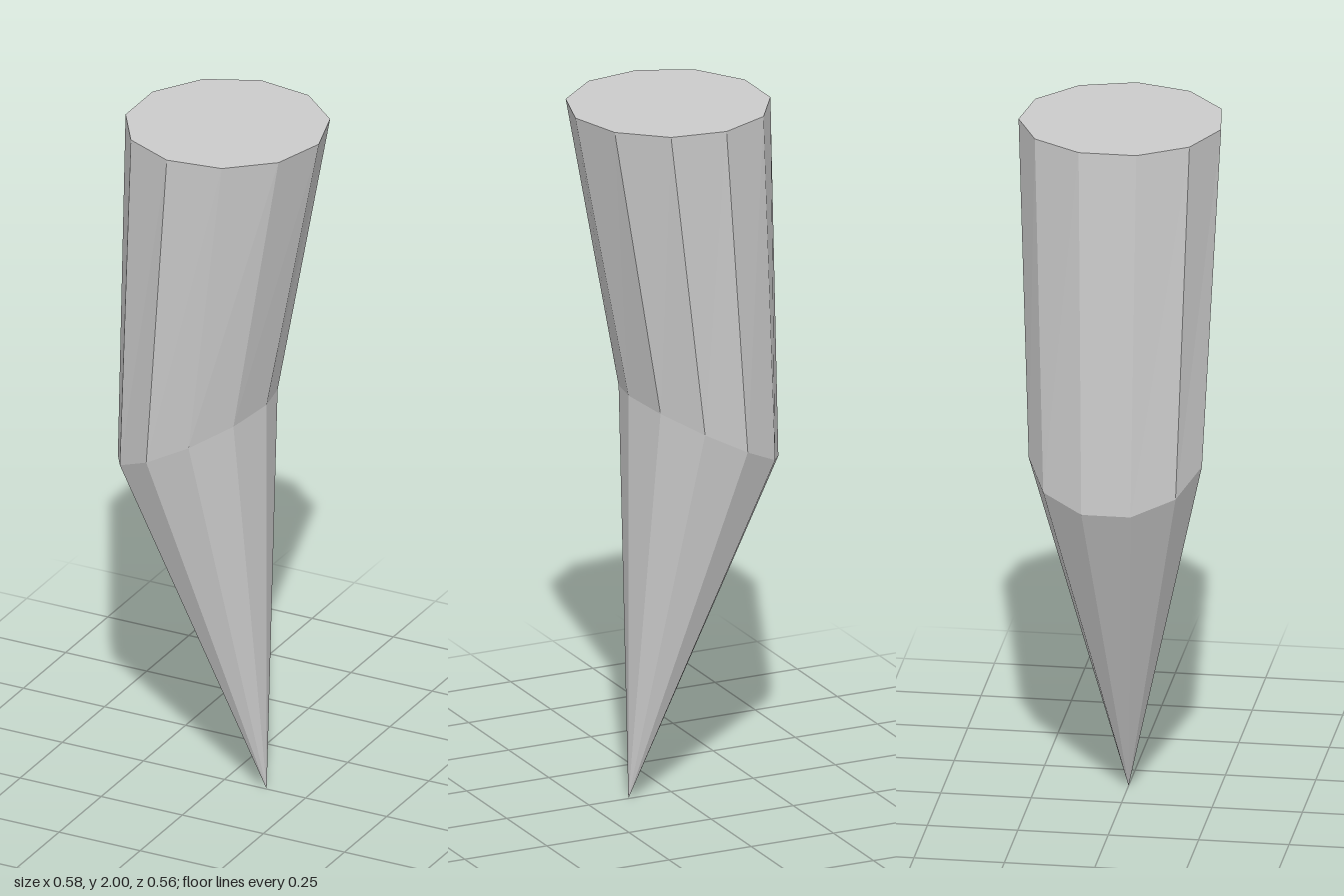
import * as THREE from 'three';

export function createModel() {
  const group = new THREE.Group();

  // Eleven-sided cone with three levels: flat top ring, slanted bend ring, pointed tip
  const geometry = new THREE.CylinderGeometry(1, 0, 1, 11, 2, false, Math.PI / 2);
  const pos = geometry.attributes.position;
  for (let i = 0; i < pos.count; i++) {
    const x = pos.getX(i), y = pos.getY(i), z = pos.getZ(i);
    if (y > 0.25) {
      // top ring and its cap
      pos.setXYZ(i, 0.008 + 0.283 * x, 2, 0.283 * z);
    } else if (y > -0.25) {
      // bend ring: the cone is half as wide here, so scale back to a unit circle
      const ux = x * 2, uz = z * 2;
      pos.setXYZ(i, -0.086 + 0.216 * ux, 1.058 + 0.112 * ux, 0.242 * uz);
    } else {
      // tip
      pos.setXYZ(i, 0.13, 0, 0);
    }
  }
  geometry.computeVertexNormals();

  const spike = new THREE.Mesh(
    geometry,
    new THREE.MeshStandardMaterial({ color: 0xcccccc, flatShading: true })
  );
  spike.name = 'bentSpike';
  group.add(spike);
  return group;
}
